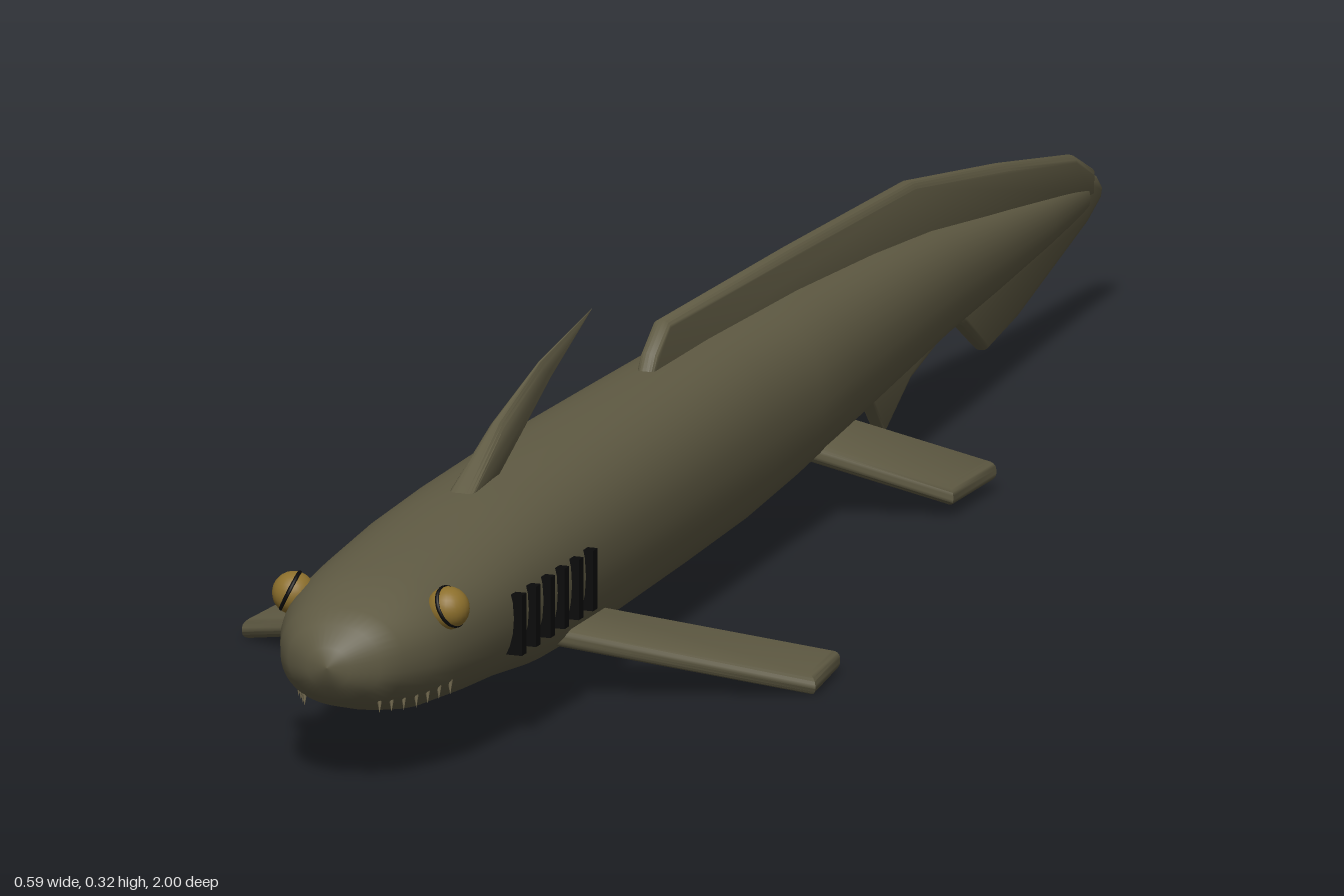
import * as THREE from 'three';
import { toCreasedNormals } from 'three/addons/utils/BufferGeometryUtils.js';

// Body stations: z, half width, bottom y, top y
const STATIONS = [
  [1, 0, 0.128, 0.128], [0.996, 0.022, 0.108, 0.147], [0.98, 0.048, 0.092, 0.166],
  [0.96, 0.064, 0.08, 0.179], [0.92, 0.08, 0.068, 0.191], [0.88, 0.091, 0.059, 0.199],
  [0.8, 0.098, 0.052, 0.206], [0.7, 0.1, 0.044, 0.216], [0.6, 0.1, 0.032, 0.222],
  [0.45, 0.098, 0.028, 0.225], [0.2, 0.087, 0.03, 0.225], [0.03, 0.079, 0.033, 0.224],
  [-0.1, 0.076, 0.044, 0.22], [-0.2, 0.071, 0.054, 0.217], [-0.4, 0.055, 0.07, 0.205],
  [-0.55, 0.044, 0.083, 0.192], [-0.7, 0.03, 0.09, 0.172], [-0.85, 0.018, 0.1, 0.153],
  [-0.96, 0.01, 0.11, 0.14], [-0.99, 0, 0.125, 0.125],
];

// Point on the skin at station z and angle t (0 = left side, 90 degrees = top)
function skinPoint(z, t) {
  let i = 0;
  while (i < STATIONS.length - 2 && STATIONS[i + 1][0] > z) i++;
  const a = STATIONS[i], b = STATIONS[i + 1];
  const f = (a[0] - z) / (a[0] - b[0]);
  const [w, low, high] = [1, 2, 3].map((k) => a[k] + (b[k] - a[k]) * f);
  const round = (v) => Math.sign(v) * Math.abs(v) ** 0.9;
  return new THREE.Vector3(
    w * round(Math.cos(t)), (low + high) / 2 + (high - low) / 2 * round(Math.sin(t)), z);
}

function bodyGeometry(sides = 40) {
  const positions = [], index = [];
  STATIONS.forEach(([z], i) => {
    for (let j = 0; j < sides; j++) {
      positions.push(...skinPoint(z, j / sides * Math.PI * 2).toArray());
      if (i === STATIONS.length - 1) continue;
      const a = i * sides + j, b = i * sides + (j + 1) % sides;
      index.push(a, a + sides, b, b, a + sides, b + sides);
    }
  });
  const geometry = new THREE.BufferGeometry();
  geometry.setAttribute('position', new THREE.Float32BufferAttribute(positions, 3));
  geometry.setIndex(index);
  geometry.computeVertexNormals();
  return geometry;
}

// Flat plate with rounded rim, centred on its own plane
function plate(points, thickness) {
  const bevel = thickness * 0.4;
  const geometry = new THREE.ExtrudeGeometry(
    new THREE.Shape(points.map(([u, v]) => new THREE.Vector2(u, v))),
    { depth: thickness - 2 * bevel, bevelThickness: bevel, bevelSize: bevel, bevelOffset: -bevel, bevelSegments: 4 });
  return geometry.translate(0, 0, bevel - thickness / 2);
}

export function createModel() {
  const model = new THREE.Group();
  model.name = 'eelShark';
  const material = (name, color) => Object.assign(new THREE.MeshStandardMaterial({ color }), { name });
  const skin = material('olive skin', 0x5f5a43);
  const gold = material('golden eye', 0x8c6f2c);
  const black = material('black', 0x0a0a0a);
  const ivory = material('dull tooth', 0x81775a);

  const add = (name, geometry, mat) => {
    const mesh = new THREE.Mesh(geometry, mat);
    mesh.name = name;
    model.add(mesh);
    return mesh;
  };

  add('body', bodyGeometry(), skin);

  // Fins on the centre line, outlined in z and y
  const medianFins = {
    dorsalFin: [[0.18, 0.215], [0.165, 0.24], [0.13, 0.265], [-0.2, 0.259], [-0.51, 0.25],
      [-0.75, 0.21], [-0.93, 0.175], [-0.98, 0.15], [-0.98, 0.12], [-0.55, 0.14], [0, 0.19]],
    tailFin: [[-0.6, 0.12], [-0.61, 0.088], [-0.64, 0.075], [-0.7, 0.036], [-0.78, 0.05],
      [-0.96, 0.1], [-0.995, 0.116], [-1, 0.128], [-0.985, 0.143], [-0.93, 0.16]],
    analFin: [[-0.36, 0.1], [-0.39, 0.068], [-0.435, 0.018], [-0.5, 0.055], [-0.6, 0.08], [-0.6, 0.11]],
  };
  for (const [name, points] of Object.entries(medianFins)) {
    const geometry = plate(points, 0.018).rotateY(-Math.PI / 2);
    add(name, toCreasedNormals(geometry, 0.9), skin);
  }

  // Spine swept back from behind the head, thinning towards its tip
  const spine = plate([[0.66, 0.215], [0.56, 0.267], [0.447, 0.3], [0.31, 0.32],
    [0.425, 0.278], [0.5, 0.247], [0.58, 0.215]], 0.026).rotateY(-Math.PI / 2);
  const sp = spine.attributes.position;
  for (let i = 0; i < sp.count; i++) {
    const k = THREE.MathUtils.clamp((0.32 - sp.getY(i)) / 0.1, 0.03, 1);
    sp.setX(i, sp.getX(i) * k);
  }
  spine.computeVertexNormals();
  add('dorsalSpine', toCreasedNormals(spine, 0.9), skin);

  // Paired fins, outlined in x and z, sloping down from the root
  const pairedFins = [
    ['PectoralFin', [[0.04, 0.612], [0.297, 0.475], [0.285, 0.38], [0.04, 0.512]], 0.077, 0.255],
    ['PelvicFin', [[0.02, -0.13], [0.167, -0.21], [0.167, -0.322], [0.02, -0.242]], 0.073, 0.4],
  ];
  for (const side of [1, -1]) {
    const prefix = side > 0 ? 'left' : 'right';
    for (const [name, points, rootY, slope] of pairedFins) {
      const geometry = plate(points.map(([x, z]) => [x * side, z]), 0.02).rotateX(Math.PI / 2);
      const p = geometry.attributes.position;
      for (let i = 0; i < p.count; i++) {
        p.setY(i, p.getY(i) + rootY - (Math.abs(p.getX(i)) - 0.04) * slope);
      }
      geometry.computeVertexNormals();
      add(prefix + name, toCreasedNormals(geometry, 0.9), skin);
    }

    // Gill slits
    for (let i = 0; i < 6; i++) {
      const slit = add(`${prefix}GillSlit${i + 1}`, new THREE.BoxGeometry(0.018, 0.06, 0.012), black);
      slit.position.set(side * 0.098, 0.123, 0.755 - i * 0.037);
    }

    // Eye with a dark rim
    const eye = add(prefix + 'Eye', new THREE.SphereGeometry(0.021, 24, 16), gold);
    eye.position.set(side * 0.08, 0.168, 0.885);
    const rim = add(prefix + 'EyeRim', new THREE.TorusGeometry(0.0195, 0.0022, 8, 28), black);
    rim.position.set(side * 0.083, 0.17, 0.886);
    rim.lookAt(side * 1.083, 0.67, 1.1);

    // Small teeth along the edge of the upper jaw
    for (let i = 0; i < 7; i++) {
      const f = i / 6;
      const tooth = add(`${prefix}Tooth${i + 1}`, new THREE.ConeGeometry(0.003, 0.016, 6), ivory);
      tooth.position.copy(skinPoint(0.96 - 0.08 * f, -0.96 + 0.44 * f));
      tooth.position.x *= side;
      tooth.position.y -= 0.003;
      tooth.rotation.x = Math.PI;
    }
  }
  return model;
}
